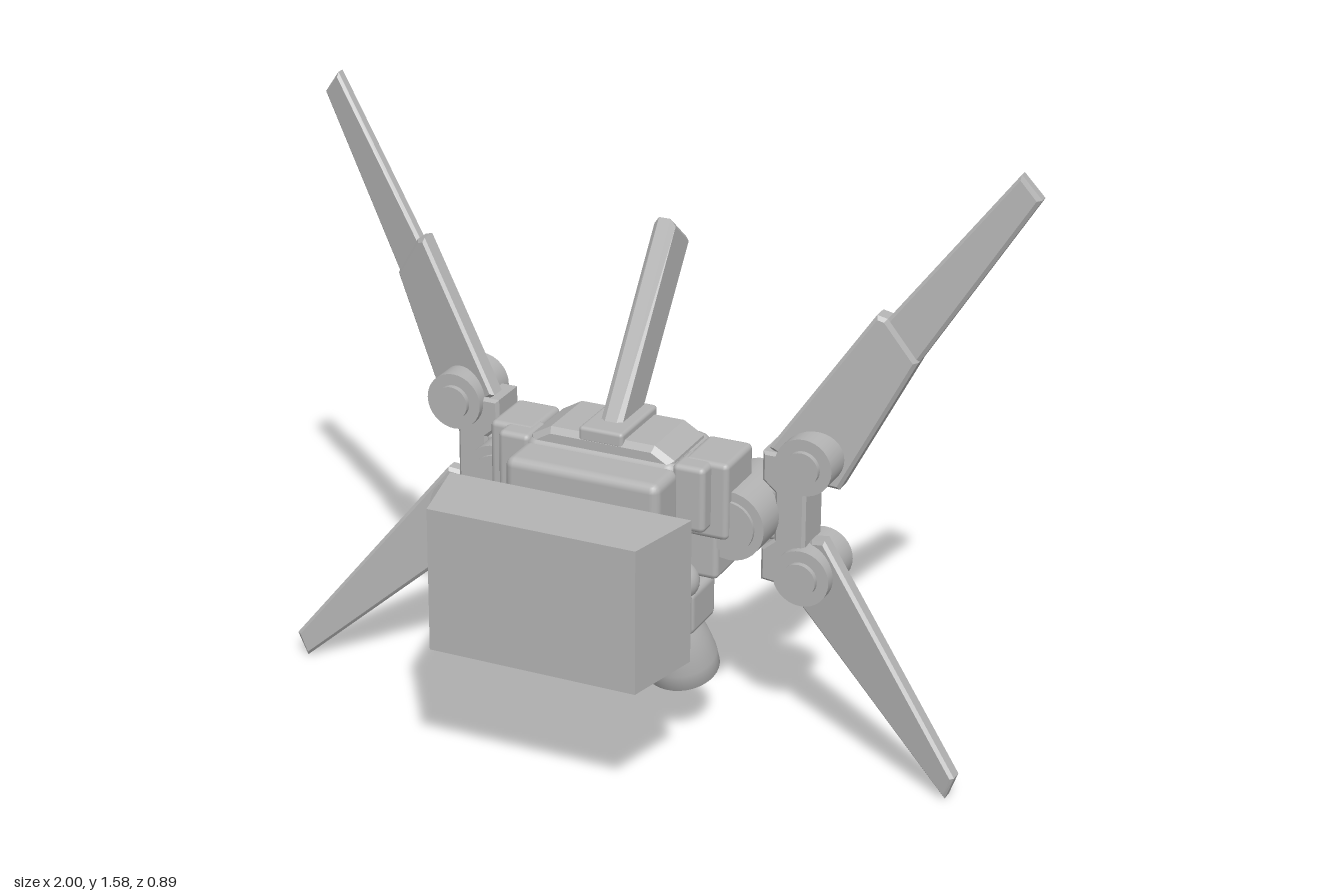
import * as THREE from 'three';
import { RoundedBoxGeometry } from 'three/addons/geometries/RoundedBoxGeometry.js';

const grey = new THREE.MeshStandardMaterial({ color: 0xb3b3b3 });
grey.name = 'plain grey';

export function createModel() {
  const root = new THREE.Group();
  root.name = 'thrusterPack';

  const add = (name, geo, x = 0, y = 0, z = 0) => {
    const mesh = new THREE.Mesh(geo, grey);
    mesh.name = name;
    mesh.position.set(x, y, z);
    root.add(mesh);
    return mesh;
  };

  // Box given by its limits, with softened edges
  const box = (name, x0, x1, y0, y1, z0, z1, r = 0.015) =>
    add(name, new RoundedBoxGeometry(Math.abs(x1 - x0), y1 - y0, z1 - z0, 2, r),
      (x0 + x1) / 2, (y0 + y1) / 2, (z0 + z1) / 2);

  // Cylinder lying along z
  const drum = (name, x, y, r, z0, z1) =>
    add(name, new THREE.CylinderGeometry(r, r, z1 - z0, 32).rotateX(Math.PI / 2), x, y, (z0 + z1) / 2);

  // Outline extruded to a centred, bevelled plate
  const plate = (points, thickness, bevel) => {
    const shape = new THREE.Shape(points.map(([x, y]) => new THREE.Vector2(x, y)));
    const geo = new THREE.ExtrudeGeometry(shape, {
      depth: thickness - 2 * bevel, bevelEnabled: bevel > 0, bevelThickness: bevel,
      bevelSize: bevel, bevelOffset: -bevel, bevelSegments: 1,
    });
    return geo.translate(0, 0, -thickness / 2 + bevel);
  };

  // Wing plate swept in z with distance from the centre
  const wing = (name, s, points, thickness, z, slope) => {
    const geo = plate(points.map(([x, y]) => [x * s, y]), thickness, 0.009);
    const p = geo.attributes.position;
    for (let i = 0; i < p.count; i++) {
      p.setZ(i, p.getZ(i) + z + slope * (Math.abs(p.getX(i)) - 0.4));
    }
    geo.computeVertexNormals();
    add(name, geo);
  };

  // Hollow bell nozzle, mouth towards -y
  const bell = (name, length, throat, mouth) => {
    const profile = [
      [0, 0], [throat * 0.8, 0], [throat, -0.02], [throat + (mouth - throat) * 0.55, -length * 0.4],
      [mouth * 0.97, -length * 0.75], [mouth, -length], [mouth * 0.88, -length],
      [mouth * 0.78, -length * 0.7], [throat * 0.7, -length * 0.3], [0, -length * 0.25],
    ].map(([r, y]) => new THREE.Vector2(r, y)).reverse();
    return add(name, new THREE.LatheGeometry(profile, 36));
  };

  // Detached front block, narrower at its front
  const shield = plate([[-0.335, -0.225], [0.335, -0.225], [0.285, -0.445], [-0.285, -0.445]], 0.39, 0);
  add('frontBlock', shield.rotateX(-Math.PI / 2), 0, 0.58, 0).geometry.computeVertexNormals();

  // Central body
  box('chestBox', -0.215, 0.215, 0.34, 0.815, 0.03, 0.165, 0.025);
  box('mainBody', -0.215, 0.215, 0.42, 0.83, -0.195, 0.06, 0.035);
  box('waist', -0.25, 0.25, 0.345, 0.47, -0.1, 0.05, 0.015);
  const cap = plate([[-0.205, 0.78], [0.205, 0.78], [0.2, 0.83], [0.145, 0.862], [-0.145, 0.862], [-0.2, 0.83]], 0.21, 0.015);
  add('topCap', cap, 0, 0, -0.06);
  box('finBase', -0.062, 0.062, 0.84, 0.882, -0.17, 0.045, 0.01);

  // Swept dorsal fin
  const fin = plate([[0, 0.86], [0.34, 1.325], [0.445, 1.24], [0.155, 0.86]], 0.06, 0.014);
  add('dorsalFin', fin.rotateY(Math.PI / 2), 0, 0, 0);

  // Rear nozzle and the small vent above it
  const rear = bell('rearNozzle', 0.17, 0.055, 0.098);
  rear.rotation.x = Math.PI / 2;
  rear.position.set(0, 0.645, -0.178);
  box('rearVent', -0.055, 0.055, 0.755, 0.8, -0.225, -0.18, 0.008);
  box('rearVentSlot', -0.038, 0.038, 0.768, 0.787, -0.232, -0.2, 0.004);

  for (const s of [1, -1]) {
    const side = s > 0 ? 'left' : 'right';

    // Shoulder brackets
    box(side + 'ShoulderFront', s * 0.2, s * 0.29, 0.65, 0.83, -0.06, 0.05);
    box(side + 'ShoulderOuter', s * 0.21, s * 0.335, 0.62, 0.832, -0.16, 0.005);
    box(side + 'ShoulderLower', s * 0.2, s * 0.305, 0.5, 0.66, -0.14, -0.005);

    // Side hub carrying the wing block
    drum(side + 'Hub', s * 0.33, 0.655, 0.095, -0.25, -0.02);
    drum(side + 'HubCap', s * 0.33, 0.655, 0.07, -0.268, -0.01);
    const block = plate([
      [0.375, 0.47], [0.47, 0.46], [0.495, 0.56], [0.495, 0.75], [0.47, 0.83],
      [0.375, 0.83], [0.375, 0.75], [0.41, 0.72], [0.41, 0.59], [0.375, 0.56],
    ].map(([x, y]) => [x * s, y]), 0.12, 0.008);
    add(side + 'WingBlock', block, 0, 0, -0.18);
    box(side + 'HubLink', s * 0.32, s * 0.47, 0.58, 0.73, -0.23, -0.13);

    // Wing joints
    for (const [level, y] of [['Upper', 0.815], ['Lower', 0.505]]) {
      drum(side + level + 'Joint', s * 0.495, y, 0.077, -0.268, -0.1);
      drum(side + level + 'JointCap', s * 0.495, y, 0.046, -0.285, -0.085);
    }

    // Upper wing: thick root with a longer blade, and lower wing
    wing(side + 'UpperWingRoot', s, [
      [0.39, 0.84], [0.635, 1.21], [0.66, 1.2], [0.735, 1.085], [0.56, 0.73], [0.52, 0.74],
    ], 0.06, -0.155, -0.36);
    wing(side + 'UpperWingBlade', s, [
      [0.5, 0.97], [0.645, 1.18], [0.95, 1.585], [1.0, 1.52], [0.72, 1.06], [0.6, 0.83],
    ], 0.04, -0.155, -0.36);
    wing(side + 'LowerWing', s, [
      [0.375, 0.48], [0.5, 0.59], [0.54, 0.6], [0.955, 0.07], [0.93, 0.003], [0.41, 0.45],
    ], 0.05, -0.205, 0.285);

    // Tilted lower nozzle with its mount and ball
    box(side + 'NozzleMount', s * 0.12, s * 0.255, 0.345, 0.47, -0.12, 0.035, 0.02);
    add(side + 'MountBall', new THREE.SphereGeometry(0.055, 24, 16), s * 0.205, 0.49, 0.01);
    const low = bell(side + 'LowerNozzle', 0.18, 0.062, 0.1);
    low.rotation.x = 0.3;
    low.position.set(s * 0.17, 0.362, -0.042);
  }
  return root;
}
